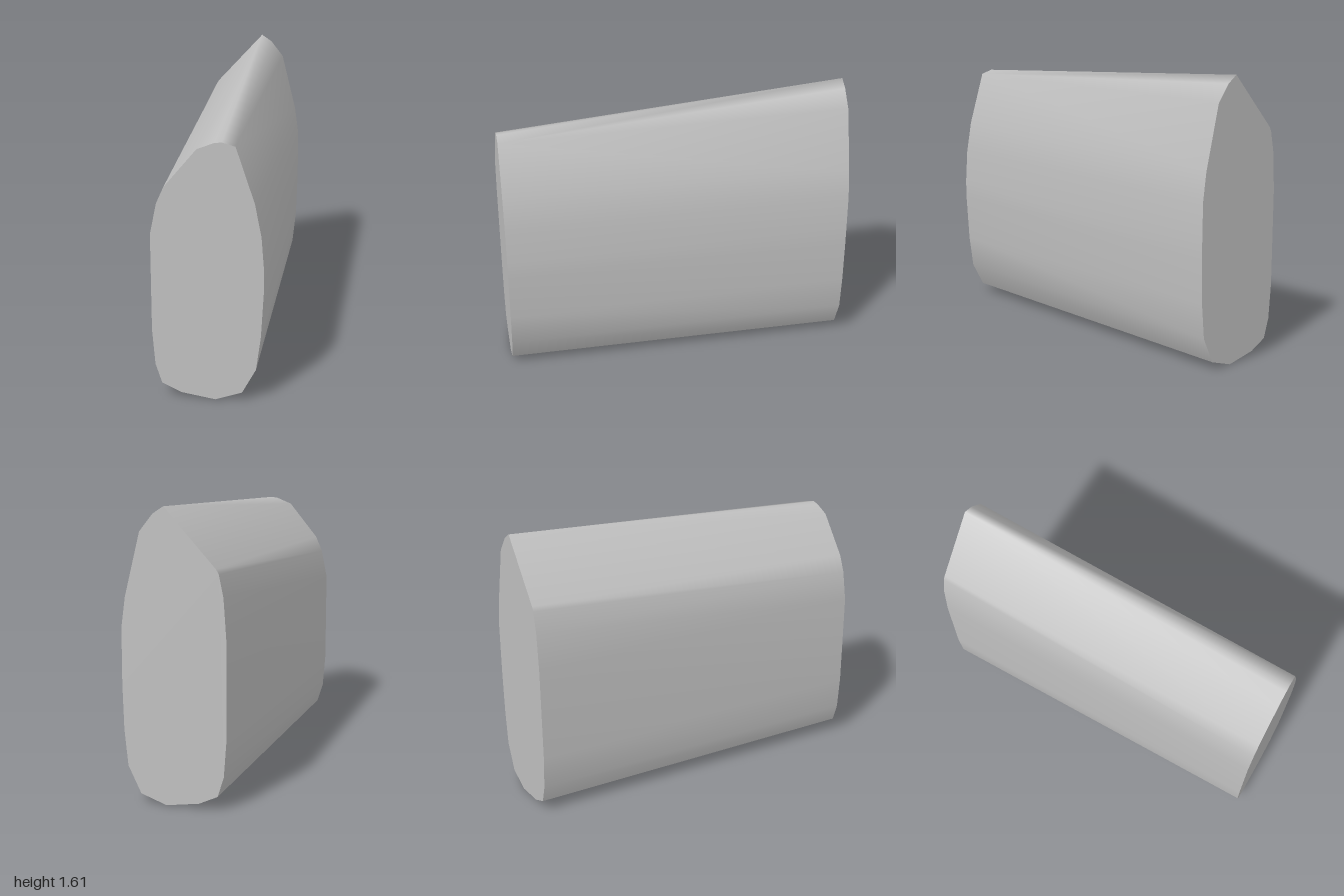
import * as THREE from 'three';
import { mergeVertices } from 'three/addons/utils/BufferGeometryUtils.js';

// Matching [x, y] sections, counter-clockwise seen from the front.
// Repeated points let several edges fan out from one corner.
const frontSection = [
  [-0.25, 0.08], [-0.145, 0.03], [0.04, 0], [0.185, 0.05], [0.26, 0.19], [0.285, 0.38],
  [0.3, 0.65], [0.3, 0.75], [0.285, 0.94], [0.25, 1.12], [0.15, 1.42], [0.15, 1.42],
  [0.15, 1.42], [0.08, 1.44], [0.04, 1.435], [-0.05, 1.4], [-0.225, 1.19], [-0.265, 1.1],
  [-0.265, 1.1], [-0.3, 0.93], [-0.3, 0.39], [-0.285, 0.19],
];
const backSection = [
  [-0.25, 0.08], [-0.145, 0.03], [0.04, 0], [0.185, 0.05], [0.258, 0.2], [0.278, 0.4],
  [0.285, 0.65], [0.285, 0.75], [0.284, 0.96], [0.262, 1.12], [0.175, 1.47], [0.1, 1.565],
  [0.04, 1.605], [0.04, 1.605], [0.04, 1.605], [0.04, 1.605], [-0.245, 1.295], [-0.26, 1.27],
  [-0.285, 1.15], [-0.3, 0.93], [-0.3, 0.39], [-0.285, 0.19],
];

// Skin between the two sections, from point index start to end
function loft(start, end) {
  const positions = [];
  const index = [];
  const n = frontSection.length;
  for (let i = start; i <= end; i++) {
    positions.push(...frontSection[i % n], 1, ...backSection[i % n], -1);
    if (i === end) continue;
    const a = (i - start) * 2;
    index.push(a, a + 1, a + 2, a + 2, a + 1, a + 3);
  }
  const geometry = new THREE.BufferGeometry();
  geometry.setAttribute('position', new THREE.Float32BufferAttribute(positions, 3));
  geometry.setIndex(index);
  const merged = mergeVertices(geometry);
  merged.computeVertexNormals();
  return merged;
}

// Flat end face
function cap(section, z) {
  const points = section
    .filter(([x, y], i) => i === 0 || x !== section[i - 1][0] || y !== section[i - 1][1])
    .map(([x, y]) => new THREE.Vector2(z > 0 ? x : -x, y));
  const geometry = new THREE.ShapeGeometry(new THREE.Shape(points));
  if (z < 0) geometry.rotateY(Math.PI);
  return geometry.translate(0, 0, z);
}

export function createModel() {
  const group = new THREE.Group();
  group.name = 'taperedBlock';
  const grey = new THREE.MeshStandardMaterial({ color: 0xc0c0c0 });
  grey.name = 'light grey';

  const add = (name, geometry) => {
    const mesh = new THREE.Mesh(geometry, grey);
    mesh.name = name;
    group.add(mesh);
  };
  add('underside', loft(0, 3));
  add('sidesAndTop', loft(3, frontSection.length));
  add('frontFace', cap(frontSection, 1));
  add('backFace', cap(backSection, -1));
  return group;
}
